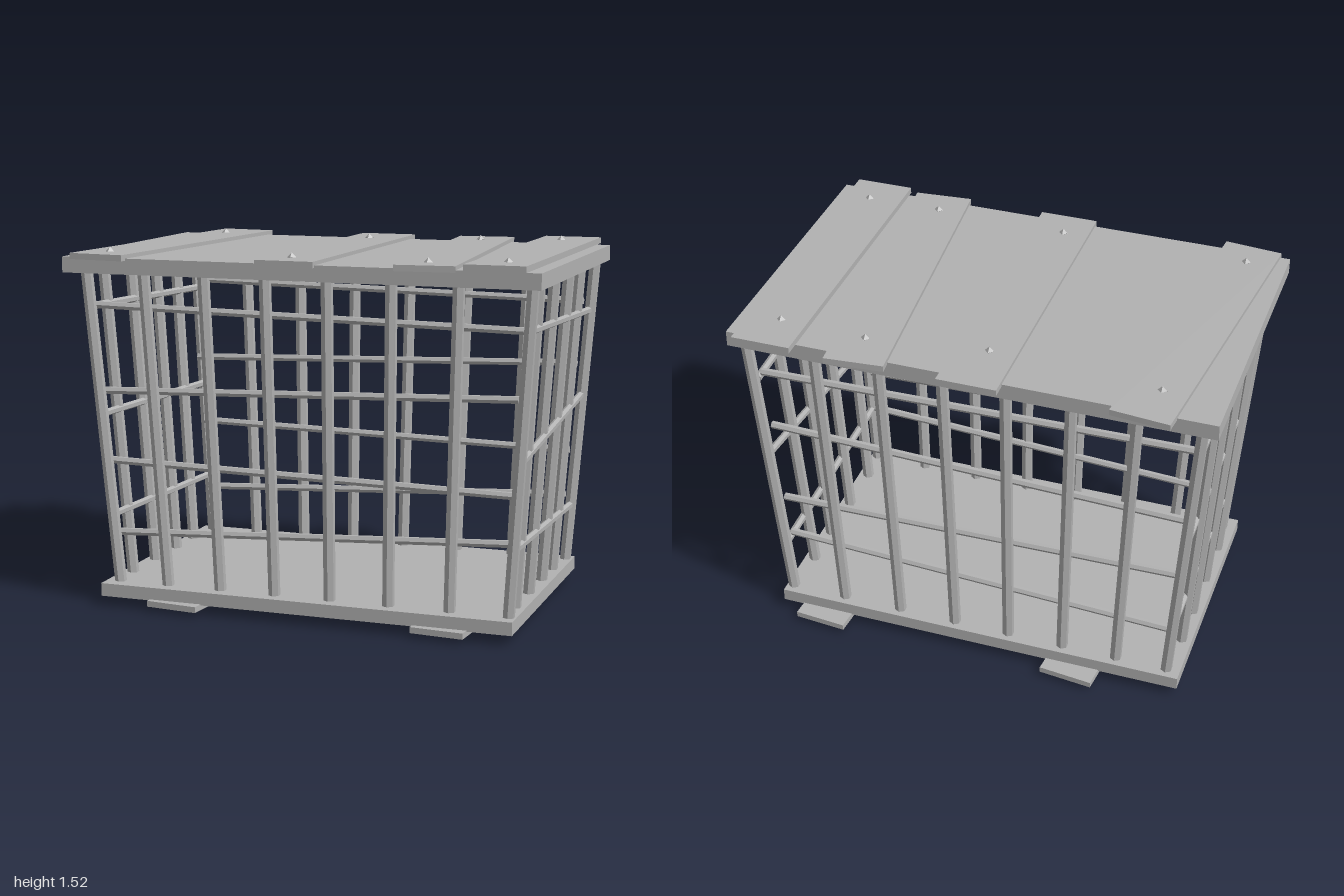
import * as THREE from 'three';

const grey = new THREE.MeshStandardMaterial({ color: 0xb2b2b2 });
grey.name = 'plain grey';
grey.flatShading = true;

export function createModel() {
  const crate = new THREE.Group();
  crate.name = 'cage';

  const add = (name, geometry, x, y, z) => {
    const mesh = new THREE.Mesh(geometry, grey);
    mesh.name = name;
    mesh.position.set(x, y, z);
    crate.add(mesh);
    return mesh;
  };

  // straight six-sided rod between two points
  const rod = (name, a, b, radius) => {
    const p = new THREE.Vector3(...a), q = new THREE.Vector3(...b);
    const dir = q.clone().sub(p);
    const mid = p.clone().add(q).multiplyScalar(0.5);
    const mesh = add(name, new THREE.CylinderGeometry(radius, radius, dir.length(), 6), mid.x, mid.y, mid.z);
    mesh.quaternion.setFromUnitVectors(new THREE.Vector3(0, 1, 0), dir.normalize());
  };

  // board laid from its back end to its front end
  const plank = (name, xBack, zBack, xFront, zFront, y, width) => {
    const dx = xFront - xBack, dz = zFront - zBack;
    const mesh = add(name, new THREE.BoxGeometry(width, 0.025, Math.hypot(dx, dz)),
      (xBack + xFront) / 2, y, (zBack + zFront) / 2);
    mesh.rotation.y = Math.atan2(dx, dz);
  };

  // lid and floor slabs
  add('lid', new THREE.BoxGeometry(2, 0.065, 1.245), 0, 1.4425, 0.018);
  add('floor', new THREE.BoxGeometry(1.78, 0.055, 1.105), 0, 0.0685, 0.022);

  // boards nailed on the lid and under the floor
  plank('lidPlank', -0.71, -0.665, -0.84, 0.66, 1.479, 0.243);
  plank('lidPlank', -0.028, -0.67, -0.028, 0.66, 1.478, 0.245);
  plank('lidPlank', 0.433, -0.667, 0.545, 0.657, 1.479, 0.243);
  plank('lidPlank', 0.823, -0.67, 0.823, 0.66, 1.489, 0.245);
  plank('floorPlank', -0.425, -0.605, -0.555, 0.61, 0.033, 0.23);
  plank('floorPlank', 0.69, -0.605, 0.59, 0.61, 0.033, 0.225);

  // diamond nail heads
  const nail = new THREE.OctahedronGeometry(0.019);
  [[-0.745, -0.47], [-0.835, 0.535], [-0.04, -0.425], [-0.045, 0.52],
    [0.45, -0.495], [0.525, 0.535], [0.81, -0.49], [0.84, 0.52]]
    .forEach(([x, z]) => add('lidNail', nail, x, x > 0.7 ? 1.501 : 1.492, z));
  [[-0.53, 0.45], [-0.46, -0.47], [0.59, 0.45], [0.665, -0.47]]
    .forEach(([x, z]) => add('floorNail', nail, x, 0.019, z));

  // upright bars of the front and back, flaring outwards: [bottom x, top x]
  const low = 0.08, high = 1.43;
  const walls = [{ name: 'front', bottom: 0.505, top: 0.563, rail: -0.025 },
    { name: 'back', bottom: -0.482, top: -0.54, rail: 0.025 }];
  const uprights = [[-0.83, -0.93], [-0.61, -0.674], [-0.374, -0.41], [-0.134, -0.144],
    [0.107, 0.118], [0.358, 0.385], [0.615, 0.658], [0.858, 0.952]];
  // cross rails: [left-end x, y, right-end x, y]
  const rails = [[-0.9, 1.27, 0.91, 1.24], [-0.9, 0.91, 0.89, 0.97],
    [-0.865, 0.615, 0.868, 0.585], [-0.84, 0.305, 0.855, 0.39]];
  for (const { name, bottom, top, rail } of walls) {
    for (const [xb, xt] of uprights) rod(name + 'Upright', [xb, low, bottom], [xt, high, top], 0.025);
    const depth = (y) => bottom + (top - bottom) * (y - low) / (high - low) + rail;
    for (const [x0, y0, x1, y1] of rails) {
      rod(name + 'Rail', [x0, y0, depth(y0)], [x1, y1, depth(y1)], 0.016);
    }
  }

  // upright bars and rails of both sides
  const sideUprights = [[0.353, 0.396], [0.128, 0.14], [-0.096, -0.112], [-0.285, -0.327]];
  const sides = [
    { name: 'leftSide', s: 1, rails: [[1.24, 1.2], [0.72, 0.83], [0.37, 0.34]] },
    { name: 'rightSide', s: -1, rails: [[1.265, 1.23], [0.815, 0.785], [0.385, 0.355]] },
  ];
  for (const { name, s, rails: bars } of sides) {
    for (const [zb, zt] of sideUprights) {
      rod(name + 'Upright', [s * 0.845, low, zb], [s * 0.935, high, zt], 0.025);
    }
    const out = (y) => s * (0.845 + 0.09 * (y - low) / (high - low) + (s > 0 ? 0.012 : -0.012));
    for (const [yf, yb] of bars) {
      rod(name + 'Rail', [out(yf), yf, 0.52], [out(yb), yb, -0.505], 0.016);
    }
  }

  return crate;
}
